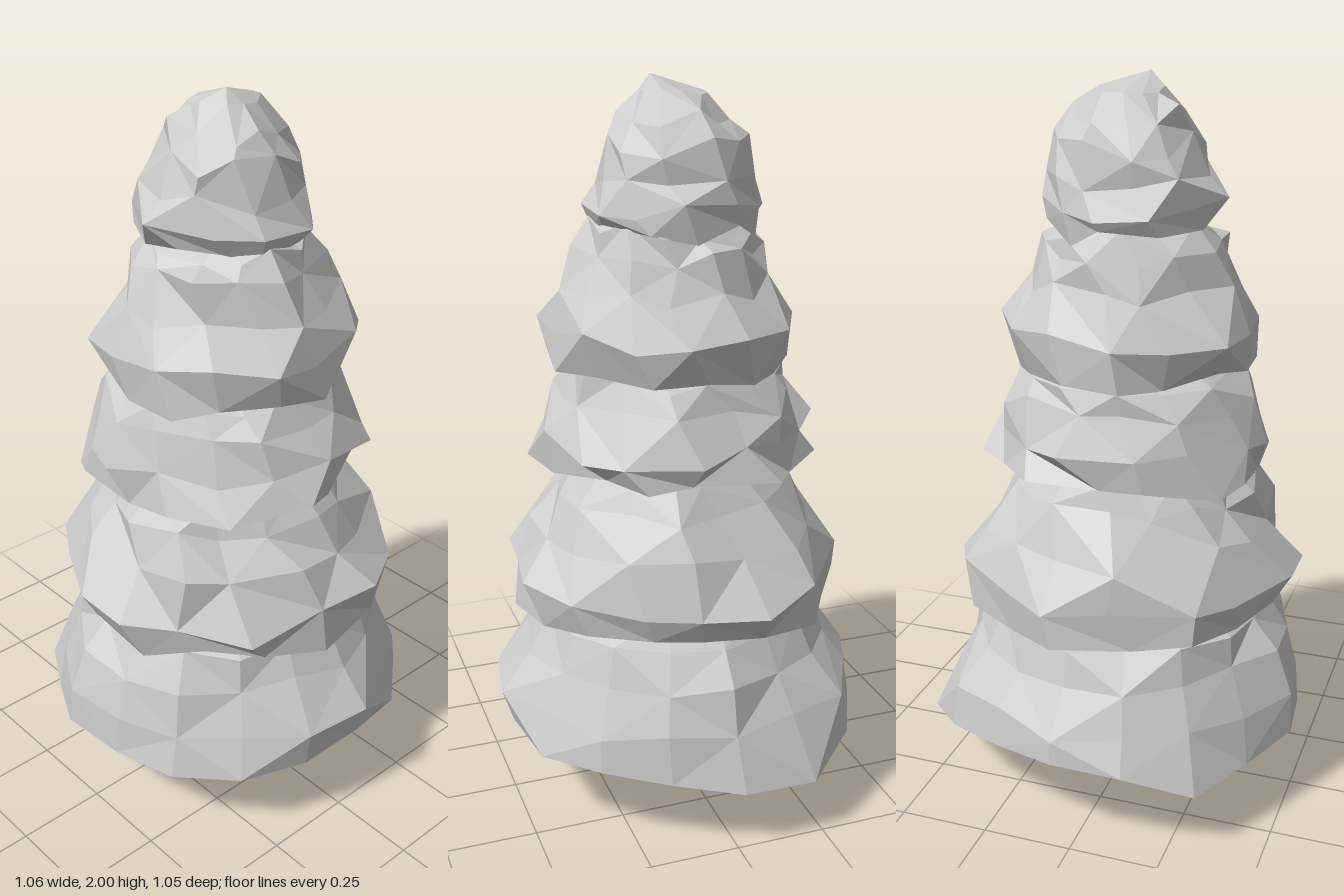
import * as THREE from 'three';

const material = new THREE.MeshStandardMaterial({ color: 0xcccccc, flatShading: true });

// Small seeded generator giving values from -1 to 1
function makeJitter(seed) {
  let s = seed * 7919;
  return () => {
    s = (s * 16807) % 2147483647;
    return (s / 2147483647) * 2 - 1;
  };
}

// Skins a stack of equal rings, alternating the diagonals for a faceted look
function loft(rings) {
  const n = rings[0].length;
  const index = [];
  for (let k = 0; k < rings.length - 1; k++) {
    for (let i = 0; i < n; i++) {
      const a = k * n + i, b = k * n + ((i + 1) % n);
      const c = a + n, d = b + n;
      if ((i + k) % 2) index.push(a, c, b, b, c, d);
      else index.push(a, c, d, a, d, b);
    }
  }
  const geometry = new THREE.BufferGeometry().setFromPoints(rings.flat());
  geometry.setIndex(index);
  const flat = geometry.toNonIndexed();
  flat.computeVertexNormals();
  return flat;
}

// Ragged skirt: each profile row is a radius and a height, from the inside of the hem upwards
function skirt({ sides, seed, start, drift, x, z, rough, profile }) {
  const jitter = makeJitter(seed);
  return profile.map(([radius, y], k) => {
    const amount = k === 0 || k === profile.length - 1 ? 0.03 : rough;
    return Array.from({ length: sides }, (_, i) => {
      const a = start + ((i + drift * (k + jitter())) / sides) * Math.PI * 2;
      const r = radius * (1 + amount * (jitter() - 0.2));
      return new THREE.Vector3(x + r * Math.cos(a), y + amount * 0.3 * jitter(), z + r * Math.sin(a));
    });
  });
}

// Uneven hem of the lowest skirt: radius and height at even angles
function hemRing() {
  const radii = [0.51, 0.51, 0.53, 0.52, 0.50, 0.52, 0.50, 0.54, 0.53, 0.52, 0.505, 0.54, 0.57, 0.54, 0.51, 0.52, 0.53];
  const heights = [0.25, 0.23, 0.23, 0.22, 0.22, 0.23, 0.21, 0.19, 0.26, 0.27, 0.25, 0.23, 0.18, 0.19, 0.22, 0.24, 0.23];
  return radii.map((r, i) => {
    const a = -0.1 + (i / radii.length) * Math.PI * 2;
    return new THREE.Vector3(r * Math.cos(a), heights[i], r * Math.sin(a));
  });
}

function lowestSkirt() {
  const rings = skirt({ sides: 17, seed: 11, start: -0.1, drift: 0, x: 0.01, z: 0, rough: 0.055,
    profile: [[0.02, 0.27], [0.25, 0.245], [0.51, 0.345], [0.45, 0.46], [0.405, 0.56], [0.33, 0.63]] });
  rings.splice(2, 0, hemRing());
  return rings;
}

const secondSkirt = () => skirt({ sides: 16, seed: 23, start: 0, drift: 0.2, x: 0.01, z: 0.005, rough: 0.08,
  profile: [[0.35, 0.62], [0.455, 0.58], [0.475, 0.68], [0.41, 0.80], [0.345, 0.90], [0.285, 0.98], [0.2, 1.04]] });

const thirdSkirt = () => skirt({ sides: 15, seed: 37, start: 0.1, drift: 0.25, x: 0.01, z: 0.005, rough: 0.085,
  profile: [[0.25, 1.01], [0.39, 0.98], [0.385, 1.07], [0.335, 1.17], [0.3, 1.24], [0.21, 1.30]] });

const fourthSkirt = () => skirt({ sides: 14, seed: 53, start: 0.2, drift: 0.2, x: 0.02, z: 0.005, rough: 0.085,
  profile: [[0.24, 1.27], [0.325, 1.25], [0.35, 1.36], [0.285, 1.47], [0.25, 1.56], [0.21, 1.62], [0.13, 1.67]] });

function treetop() {
  const rings = skirt({ sides: 11, seed: 71, start: 0.1, drift: 0.2, x: 0.01, z: 0, rough: 0.1,
    profile: [[0.155, 1.64], [0.225, 1.61], [0.25, 1.67], [0.205, 1.75], [0.19, 1.83], [0.155, 1.90], [0.09, 1.96]] });
  rings.push(rings[0].map(() => new THREE.Vector3(0.06, 2, 0.04)));
  return rings;
}

// Leaning trunk, sheared towards the back
function trunkGeometry() {
  const geometry = new THREE.CylinderGeometry(0.075, 0.064, 0.3, 5, 2);
  geometry.rotateY(0.3);
  geometry.translate(0.01, 0.15, 0);
  const p = geometry.attributes.position;
  for (let i = 0; i < p.count; i++) p.setZ(i, p.getZ(i) - 0.2 * p.getY(i));
  geometry.computeVertexNormals();
  return geometry;
}

export function createModel() {
  const tree = new THREE.Group();
  tree.name = 'tree';
  const add = (name, geometry) => {
    const mesh = new THREE.Mesh(geometry, material);
    mesh.name = name;
    tree.add(mesh);
  };
  add('trunk', trunkGeometry());
  const skirts = { lowestSkirt, secondSkirt, thirdSkirt, fourthSkirt, treetop };
  for (const [name, build] of Object.entries(skirts)) add(name, loft(build()));
  return tree;
}
